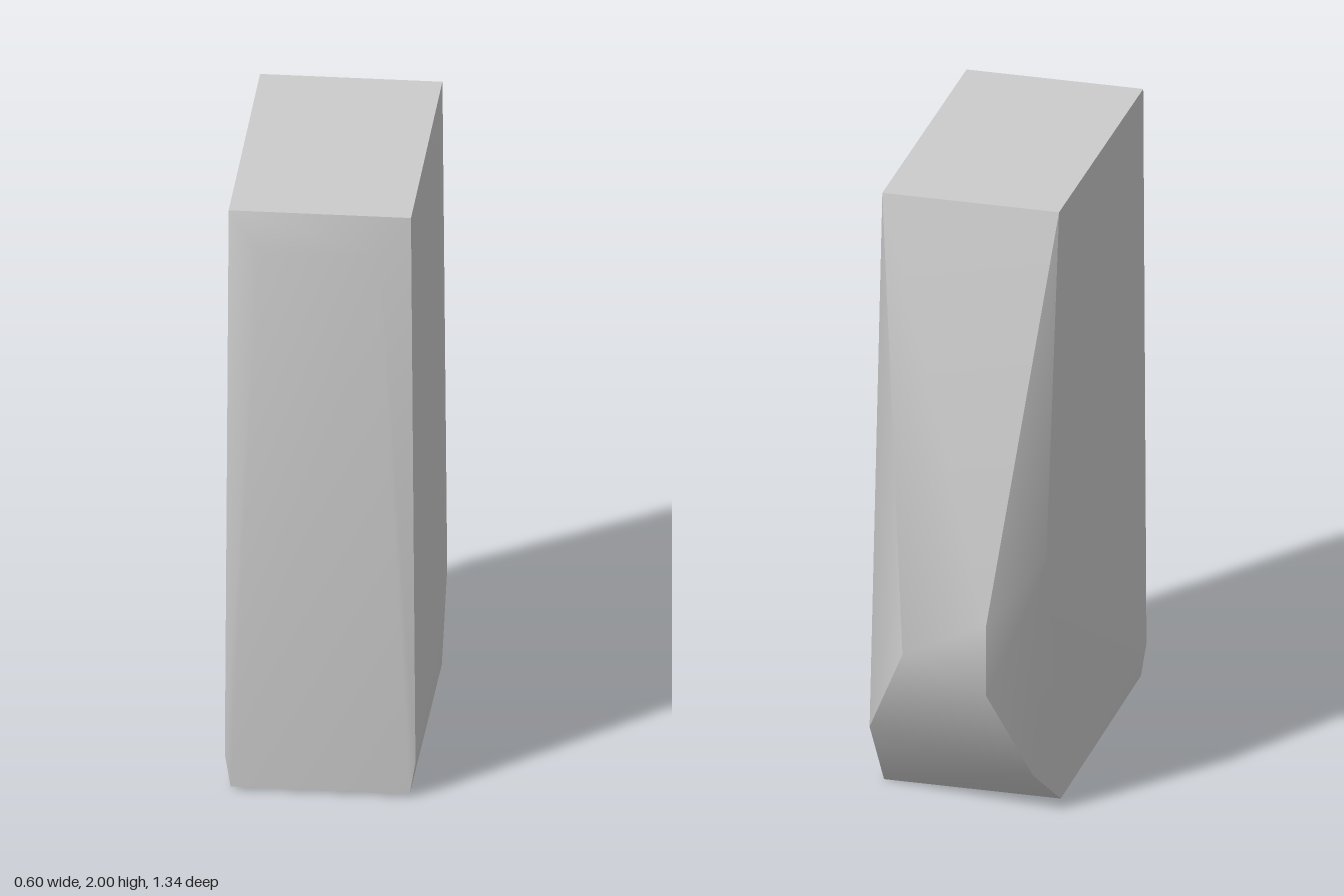
import * as THREE from 'three';
import { ConvexGeometry } from 'three/addons/geometries/ConvexGeometry.js';
import { toCreasedNormals } from 'three/addons/utils/BufferGeometryUtils.js';

export function createModel() {
  const group = new THREE.Group();
  group.name = 'facetedBlock';
  const grey = new THREE.MeshStandardMaterial({ color: 0xcccccc });
  grey.name = 'light grey';

  const points = [];
  const add = (x, y, z) => points.push(new THREE.Vector3(x, y, z));
  const pair = (x, y, z) => { add(x, y, z); add(-x, y, z); };

  // Flat top and base
  pair(0.285, 2, 0.63);
  pair(0.285, 2, -0.36);
  pair(0.28, 0.01, 0.62);
  pair(0.285, 0, -0.34);

  // Front: shallow bulge near the top, flared lower corners
  pair(0.19, 1.88, 0.668);
  pair(0.298, 0.12, 0.62);

  // Back, right side: sharp facet from the top corner to the bulge
  add(0.285, 0.25, -0.51);
  add(0.135, 0.58, -0.67);

  // Back, left side: uneven chipped facets
  add(-0.285, 0.88, -0.51);
  add(-0.135, 0.71, -0.67);
  add(-0.135, 0.47, -0.67);
  add(-0.24, 0.14, -0.5);

  const geometry = toCreasedNormals(new ConvexGeometry(points), THREE.MathUtils.degToRad(40));
  const block = new THREE.Mesh(geometry, grey);
  block.name = 'block';
  group.add(block);
  return group;
}
